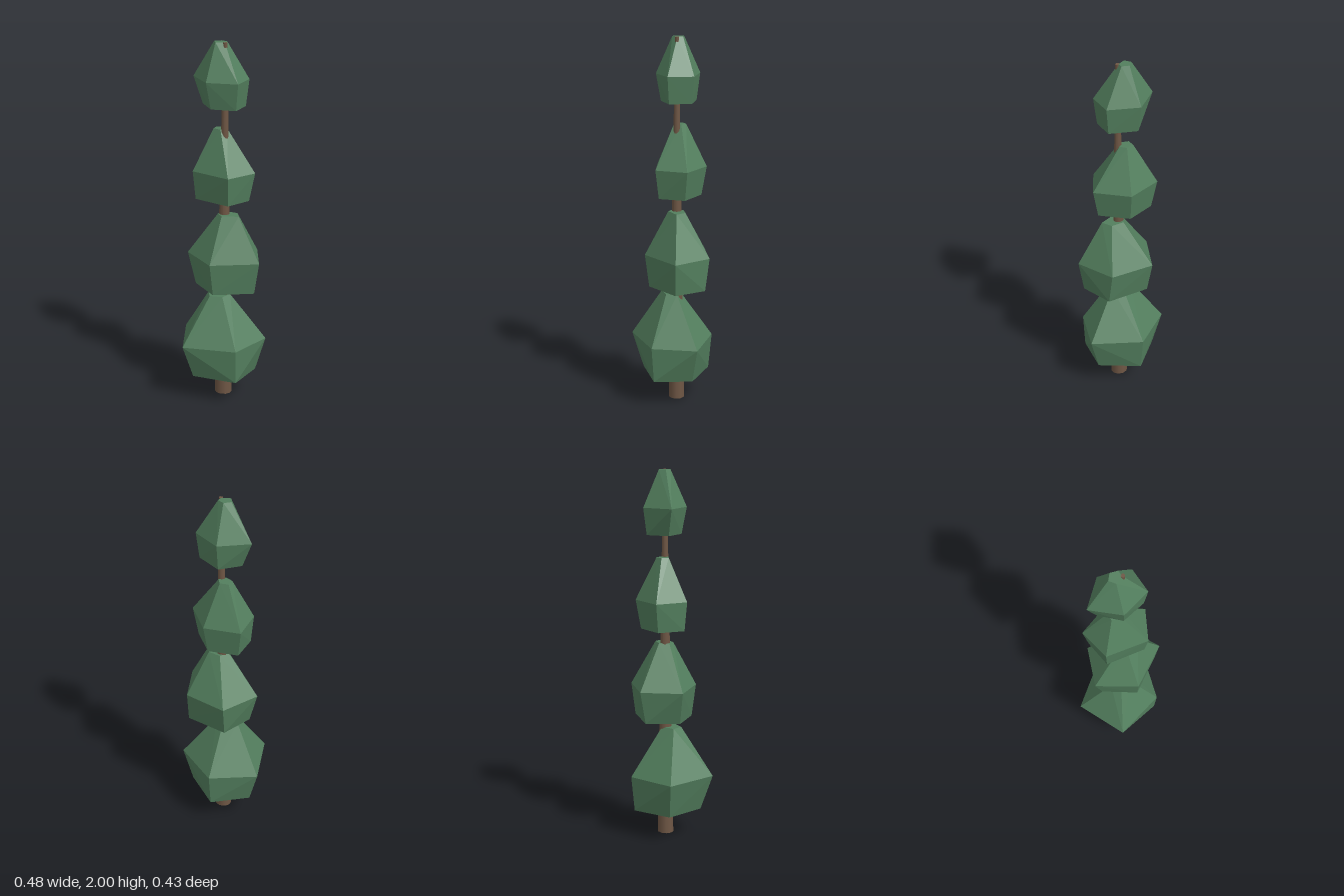
import * as THREE from 'three';
import { ConvexGeometry } from 'three/addons/geometries/ConvexGeometry.js';

// Each foliage tier: three irregular five-sided rings of [x, z], at its own heights
const TIERS = [
  {
    name: 'lowestFoliage', heights: [0.147, 0.34, 0.605],
    base: [[-0.185, -0.055], [-0.105, 0.155], [0.145, 0.15], [0.185, -0.055], [-0.01, -0.195]],
    waist: [[-0.24, -0.07], [-0.143, 0.211], [0.149, 0.163], [0.24, -0.068], [-0.01, -0.214]],
    crown: [[-0.07, 0.01], [-0.04, 0.065], [0.03, 0.055], [0.055, 0.0], [0.0, -0.03]],
  },
  {
    name: 'lowerMiddleFoliage', heights: [0.65, 0.827, 1.068],
    base: [[-0.14, 0.02], [0.01, 0.145], [0.21, 0.045], [0.16, -0.13], [-0.075, -0.152]],
    waist: [[-0.187, 0.018], [0.0, 0.166], [0.239, 0.051], [0.155, -0.155], [-0.085, -0.185]],
    crown: [[-0.015, 0.005], [0.02, 0.04], [0.108, 0.015], [0.08, -0.04], [0.01, -0.045]],
  },
  {
    name: 'upperMiddleFoliage', heights: [1.152, 1.308, 1.535],
    base: [[-0.125, 0.05], [0.08, 0.105], [0.153, -0.02], [0.03, -0.14], [-0.13, -0.1]],
    waist: [[-0.137, 0.06], [0.088, 0.125], [0.185, -0.024], [0.041, -0.166], [-0.154, -0.119]],
    crown: [[-0.045, -0.01], [0.0, 0.005], [0.025, -0.03], [0.0, -0.062], [-0.045, -0.05]],
  },
  {
    name: 'topFoliage', heights: [1.657, 1.8, 1.995],
    base: [[-0.115, -0.035], [-0.03, 0.068], [0.105, 0.055], [0.115, -0.065], [-0.025, -0.125]],
    waist: [[-0.17, -0.04], [-0.047, 0.091], [0.12, 0.066], [0.131, -0.073], [-0.028, -0.145]],
    crown: [[-0.048, -0.027], [-0.027, 0.007], [0.018, -0.01], [0.02, -0.04], [-0.018, -0.055]],
  },
];

export function createModel() {
  const tree = new THREE.Group();
  tree.name = 'tree';

  const leaf = new THREE.MeshStandardMaterial({ color: 0x537f5e });
  leaf.name = 'leaf green';
  const bark = new THREE.MeshStandardMaterial({ color: 0x6e5644 });
  bark.name = 'bark brown';

  // Slender trunk, tapering and leaning slightly towards its tip
  const height = 1.995;
  const trunkShape = new THREE.CylinderGeometry(0.011, 0.048, height, 10);
  trunkShape.translate(0, height / 2, 0);
  const pos = trunkShape.attributes.position;
  for (let i = 0; i < pos.count; i++) {
    const t = pos.getY(i) / height;
    pos.setX(i, pos.getX(i) + 0.012 + 0.01 * t);
    pos.setZ(i, pos.getZ(i) * 0.92 - 0.007);
  }
  const trunk = new THREE.Mesh(trunkShape, bark);
  trunk.name = 'trunk';
  tree.add(trunk);

  // Faceted foliage clumps stacked along the trunk
  for (const { name, heights, base, waist, crown } of TIERS) {
    const points = [base, waist, crown].flatMap((ring, i) =>
      ring.map(([x, z]) => new THREE.Vector3(x, heights[i], z)));
    const foliage = new THREE.Mesh(new ConvexGeometry(points), leaf);
    foliage.name = name;
    tree.add(foliage);
  }
  return tree;
}
